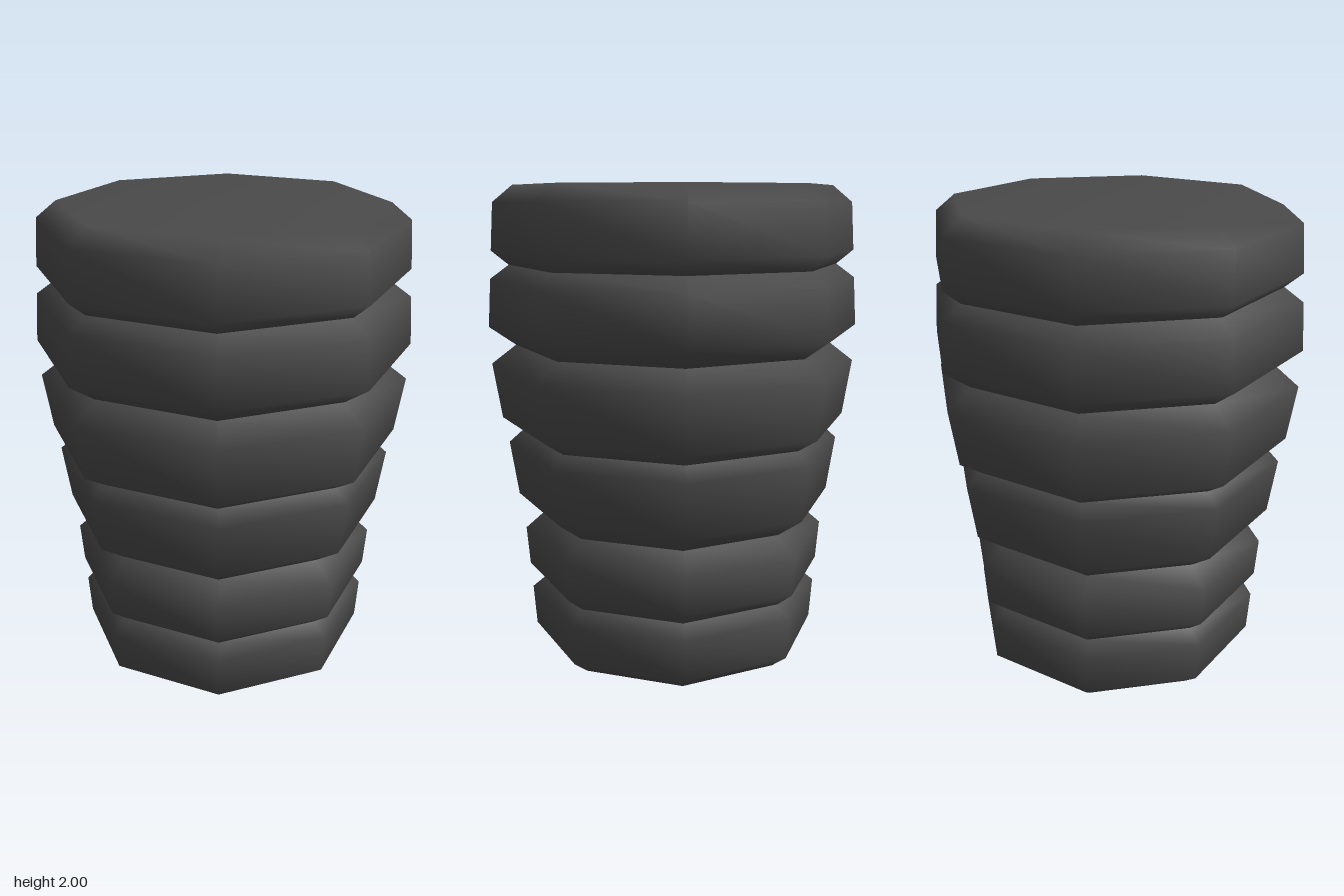
import * as THREE from 'three';

export function createModel() {
  const group = new THREE.Group();
  group.name = 'ribbedColumn';
  const darkGrey = new THREE.MeshStandardMaterial({ color: 0x4a4a4a });
  darkGrey.name = 'dark grey';

  // Each band: [radius, height] at its base, lower bulge, upper bulge and top
  const bands = [
    [[0.555, 0], [0.625, 0.055], [0.638, 0.23], [0.575, 0.282]],
    [[0.575, 0.282], [0.647, 0.34], [0.661, 0.508], [0.572, 0.587]],
    [[0.572, 0.587], [0.686, 0.668], [0.722, 0.903], [0.66, 0.958]],
    [[0.66, 0.958], [0.747, 1.013], [0.785, 1.25], [0.68, 1.331]],
    [[0.68, 1.331], [0.793, 1.408], [0.78, 1.612], [0.7, 1.671]],
    [[0.7, 1.671], [0.773, 1.73], [0.76, 1.93], [0.675, 2]],
  ];

  bands.forEach((band, i) => {
    const profile = band.map(([r, y]) => new THREE.Vector2(r, y));
    // Close the two ends of the stack with softly shaded caps
    if (i === 0) profile.unshift(new THREE.Vector2(0, 0));
    if (i === bands.length - 1) profile.push(new THREE.Vector2(0, 2));
    const mesh = new THREE.Mesh(new THREE.LatheGeometry(profile, 8), darkGrey);
    mesh.name = `band${i + 1}`;
    group.add(mesh);
  });

  return group;
}
